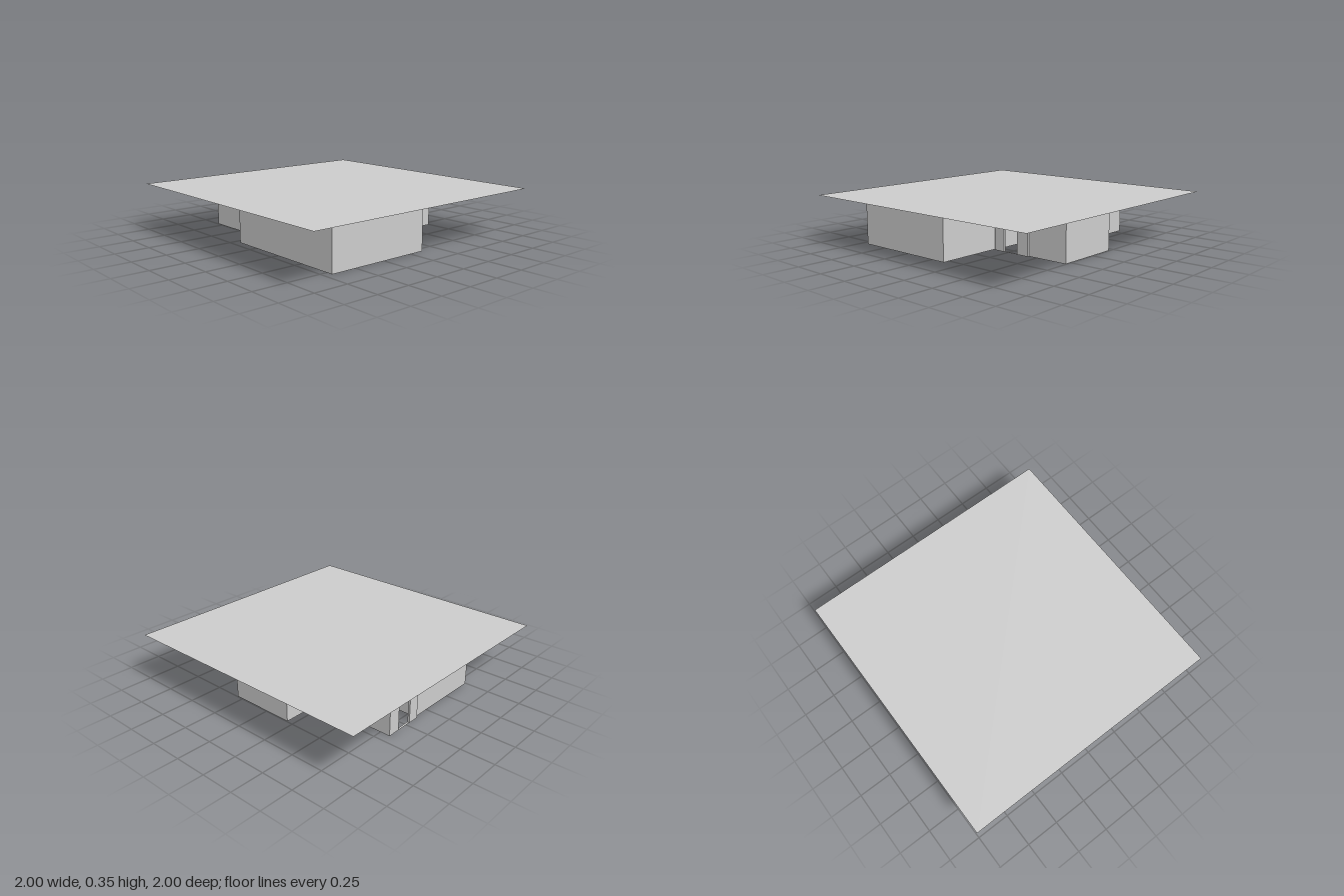
import * as THREE from 'three';

const H = 0.355;      // wall height
const DOOR_H = 0.245; // doorway height
const SILL = 0.002;   // threshold under each doorway
const T = 0.015;      // thickness of walls that carry doorways

const material = new THREE.MeshStandardMaterial({ color: 0xcccccc, side: THREE.DoubleSide, flatShading: true });

function addMesh(parent, name, geometry) {
  const mesh = new THREE.Mesh(geometry, material);
  mesh.name = name;
  parent.add(mesh);
  return mesh;
}

function rect(target, a, b, y0, y1) {
  target.moveTo(a, y0).lineTo(b, y0).lineTo(b, y1).lineTo(a, y1).closePath();
  return target;
}

// Solid wall from a to b in its own plane, with rectangular doorways cut through
function solidWall(a, b, doors) {
  const shape = rect(new THREE.Shape(), a, b, 0, H);
  for (const [d0, d1] of doors) shape.holes.push(rect(new THREE.Path(), d0, d1, SILL, DOOR_H));
  return new THREE.ExtrudeGeometry(shape, { depth: T, bevelEnabled: false });
}

// Wall running along x, occupying z to z + T
function wallAlongX(parent, name, x0, x1, z, doors = []) {
  addMesh(parent, name, solidWall(x0, x1, doors)).position.z = z;
}

// Wall running along z, occupying x to x + T
function wallAlongZ(parent, name, z0, z1, x, doors = []) {
  const flipped = doors.map(([a, b]) => [-b, -a]);
  const mesh = addMesh(parent, name, solidWall(-z1, -z0, flipped));
  mesh.rotation.y = Math.PI / 2;
  mesh.position.x = x;
}

// Thin wall panels following a plan outline of [x, z] corners
function thinWalls(parent, name, points) {
  const group = new THREE.Group();
  group.name = name;
  for (let i = 0; i + 1 < points.length; i++) {
    const [x0, z0] = points[i];
    const [x1, z1] = points[i + 1];
    const panel = addMesh(group, 'wallPanel', new THREE.PlaneGeometry(Math.hypot(x1 - x0, z1 - z0), H));
    panel.position.set((x0 + x1) / 2, H / 2, (z0 + z1) / 2);
    panel.rotation.y = -Math.atan2(z1 - z0, x1 - x0);
  }
  parent.add(group);
}

export function createModel() {
  const model = new THREE.Group();
  model.name = 'building';

  // Flat square roof
  const roof = addMesh(model, 'roof', new THREE.PlaneGeometry(2, 2));
  roof.rotation.x = -Math.PI / 2;
  roof.position.y = H;

  // Outer walls of the rooms
  thinWalls(model, 'frontRoomWalls', [[0.3, -0.115], [0.8, -0.115], [0.8, 0.695], [-0.2, 0.695], [-0.2, 0.495]]);
  thinWalls(model, 'sideRoomWalls', [[-0.2, 0.495], [-0.81, 0.495], [-0.81, -0.115]]);
  thinWalls(model, 'backRoomWalls', [[-0.2, -0.445], [-0.2, -0.745], [0.3, -0.745], [0.3, -0.445]]);
  thinWalls(model, 'corridorBackWall', [[-0.81, -0.43], [-0.2, -0.43]]);

  // Corridor walls with doorways into the rooms
  const roomDoor = [-0.11, 0.015];
  const sideRoomDoor = [-0.41, -0.285];
  wallAlongX(model, 'corridorFrontWall', -0.81, 0.3, -0.13, [roomDoor, sideRoomDoor]);
  wallAlongX(model, 'backRoomDoorWall', -0.2, 0.3, -0.445, [roomDoor]);

  // Entrances at both ends of the corridor
  const entrance = [-0.335, -0.215];
  wallAlongZ(model, 'leftEntranceWall', -0.43, -0.13, 0.3, [entrance]);
  wallAlongZ(model, 'rightEntranceWall', -0.43, -0.13, -0.825, [entrance]);

  // Partition between the front room and the side room
  wallAlongZ(model, 'roomPartition', -0.115, 0.495, -0.215);

  return model;
}
